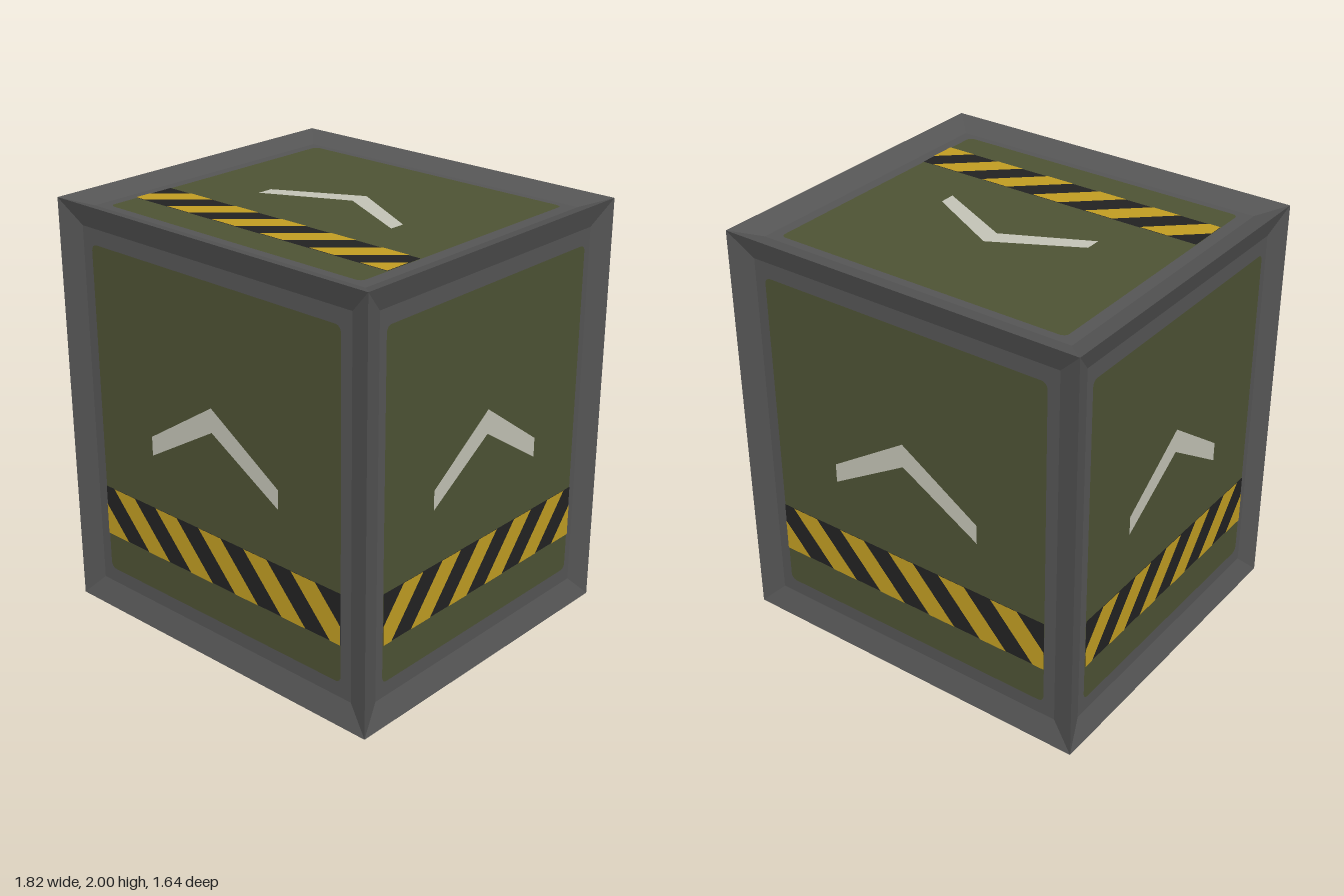
import * as THREE from 'three';

const SIZE = { x: 1.82, y: 2, z: 1.64 };
const INSET = 0.114, DEPTH = 0.04, LIFT = 0.002;
const CELLS = 128; // decals are laid out on a 128 x 128 grid stretched over each face

const material = (name, color) => {
  const m = new THREE.MeshStandardMaterial({ color });
  m.name = name;
  return m;
};

// Keep the part of a polygon where sign * x <= sign * limit
function clipX(points, limit, sign) {
  const out = [];
  points.forEach((a, i) => {
    const b = points[(i + 1) % points.length];
    const da = sign * (limit - a[0]), db = sign * (limit - b[0]);
    if (da >= 0) out.push(a);
    if (da * db < 0) {
      const t = da / (da - db);
      out.push([limit, a[1] + t * (b[1] - a[1])]);
    }
  });
  return out;
}

// Rectangle with rounded corners
function roundedRect(lo, hi, r) {
  const points = [];
  const centres = [[hi - r, hi - r], [lo + r, hi - r], [lo + r, lo + r], [hi - r, lo + r]];
  centres.forEach(([cx, cy], q) => {
    for (let i = 0; i <= 4; i++) {
      const a = (q + i / 4) * Math.PI / 2;
      points.push([cx + r * Math.cos(a), cy + r * Math.sin(a)]);
    }
  });
  return points;
}

// Diagonal yellow bars across the warning band
function hazardBars() {
  const bars = [];
  for (let s = 90; s < 230; s += 20) {
    const bar = [[s - 88, 88], [s - 78, 88], [s - 94, 104], [s - 104, 104]];
    const clipped = clipX(clipX(bar, 12, -1), 116, 1);
    if (clipped.length > 2) bars.push(clipped);
  }
  return bars;
}

const PANEL = roundedRect(12, 116, 2);
const BAND = [[12, 88], [116, 88], [116, 104], [12, 104]];
const CHEVRON = [[64.5, 48.6], [92, 65], [92, 71], [64.5, 56], [36.8, 71], [36.8, 65]];

// Four sloping rim faces and the recessed floor
function rimGeometry(w, h) {
  const ring = (x, y, z) => [[-x, -y, z], [x, -y, z], [x, y, z], [-x, y, z]];
  const outer = ring(w / 2, h / 2, 0);
  const inner = ring(w / 2 - INSET, h / 2 - INSET, -DEPTH);
  const pos = [];
  const quad = (a, b, c, d) => pos.push(...a, ...b, ...c, ...a, ...c, ...d);
  for (let i = 0; i < 4; i++) {
    const j = (i + 1) % 4;
    quad(outer[i], outer[j], inner[j], inner[i]);
  }
  quad(...inner);
  const g = new THREE.BufferGeometry();
  g.setAttribute('position', new THREE.Float32BufferAttribute(pos, 3));
  g.computeVertexNormals();
  return g;
}

export function createModel() {
  const grey = material('frame grey', 0x555555);
  const olive = material('olive paint', 0x4d5234);
  const black = material('warning black', 0x222222);
  const yellow = material('warning yellow', 0xc09c22);
  const white = material('chevron off-white', 0xc2c2b5);

  const crate = new THREE.Group();
  crate.name = 'crate';

  function addFace(name, w, h, d, up, out, mirrored) {
    const face = new THREE.Group();
    face.name = name;
    const add = (part, geometry, mat, z = 0) => {
      const mesh = new THREE.Mesh(geometry, mat);
      mesh.name = part;
      mesh.position.z = z;
      face.add(mesh);
    };
    const decal = (part, polygons, mat, layer) => {
      const shapes = polygons.map(points => new THREE.Shape(points.map(([tx, ty]) =>
        new THREE.Vector2((tx / CELLS - 0.5) * w * (mirrored ? -1 : 1), (0.5 - ty / CELLS) * h))));
      add(part, new THREE.ShapeGeometry(shapes), mat, -DEPTH + layer * LIFT);
    };

    add('bevelledRim', rimGeometry(w, h), grey);
    decal('paintedPanel', [PANEL], olive, 1);
    decal('warningBand', [BAND], black, 2);
    decal('warningBars', hazardBars(), yellow, 3);
    decal('chevron', [CHEVRON], white, 2);

    const upV = new THREE.Vector3(...up), outV = new THREE.Vector3(...out);
    const right = new THREE.Vector3().crossVectors(upV, outV);
    face.quaternion.setFromRotationMatrix(new THREE.Matrix4().makeBasis(right, upV, outV));
    face.position.copy(outV).multiplyScalar(d / 2);
    face.position.y += SIZE.y / 2;
    crate.add(face);
  }

  const { x, y, z } = SIZE;
  addFace('frontFace', x, y, z, [0, 1, 0], [0, 0, 1], true);
  addFace('backFace', x, y, z, [0, 1, 0], [0, 0, -1], true);
  addFace('leftFace', z, y, x, [0, 1, 0], [1, 0, 0], false);
  addFace('rightFace', z, y, x, [0, 1, 0], [-1, 0, 0], false);
  addFace('topFace', x, z, y, [0, 0, -1], [0, 1, 0], false);
  addFace('bottomFace', x, z, y, [0, 0, -1], [0, -1, 0], true);
  return crate;
}
